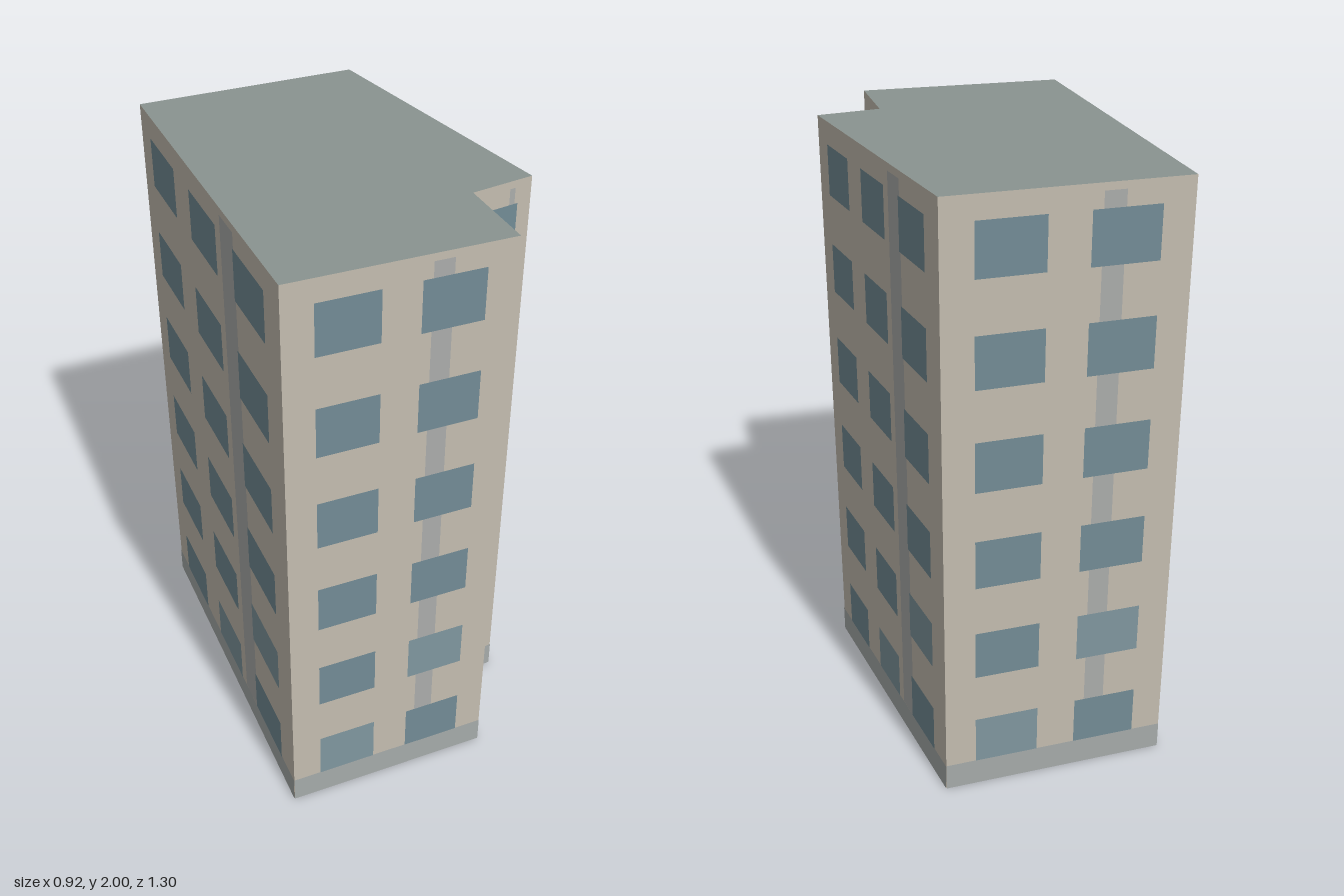
import * as THREE from 'three';

const HEIGHT = 2, FLOORS = 6, FLOOR = HEIGHT / FLOORS;
const BASE = FLOOR * 0.28, WINDOW_H = FLOOR * 0.5;

// Footprint corners [x, z], walked so each wall runs left to right seen from outside
const CORNERS = [
  [-0.457, 0.633], [0.238, 0.647], [0.244, 0.365],
  [0.455, 0.335], [0.31, -0.65], [-0.436, -0.643],
];

// One entry per wall; paleStep marks the diagonal of paler windows on the two lowest floors
const WALLS = [
  { name: 'frontWall', columns: 2, paleStep: 0 },
  { name: 'notchSideWall', columns: 1, paleStep: -1 },
  { name: 'notchFrontWall', columns: 1, paleStep: -1 },
  { name: 'rightWall', columns: 3, paleStep: 1 },
  { name: 'backWall', columns: 2, paleStep: 0 },
  { name: 'leftWall', columns: 3, paleStep: 1 },
];

const paint = (color, side = THREE.FrontSide) =>
  new THREE.MeshStandardMaterial({ color, side });

export function createModel() {
  const building = new THREE.Group();
  building.name = 'apartmentBlock';

  const wallMat = paint(0xc4bdb0, THREE.DoubleSide);
  const roofMat = paint(0x8a9490, THREE.DoubleSide);
  const baseMat = paint(0xa6abaa);
  const stripMat = paint(0xabadab);
  const glassMat = paint(0x738c96);
  const paleGlassMat = paint(0x80979f);

  // Flat panel given by its left, bottom, width, height and distance off the wall
  const addPanel = (group, name, material, x, y, w, h, offset) => {
    const panel = new THREE.Mesh(new THREE.PlaneGeometry(w, h), material);
    panel.name = name;
    panel.position.set(x + w / 2, y + h / 2, offset);
    group.add(panel);
  };

  WALLS.forEach(({ name, columns, paleStep }, i) => {
    const [x0, z0] = CORNERS[i];
    const [x1, z1] = CORNERS[(i + 1) % CORNERS.length];
    const length = Math.hypot(x1 - x0, z1 - z0);

    const wall = new THREE.Group();
    wall.name = name;
    wall.position.set(x0, 0, z0);
    wall.rotation.y = Math.atan2(z0 - z1, x1 - x0);
    building.add(wall);

    addPanel(wall, 'wallSurface', wallMat, 0, 0, length, HEIGHT, 0);
    addPanel(wall, 'baseBand', baseMat, 0, 0, length, BASE, 0.002);
    addPanel(wall, 'verticalStrip', stripMat,
      length * 0.63, BASE, length * 0.09, 1.977 - BASE, 0.0015);

    // Window grid, in front of the strip
    const margin = Math.min(0.035, length * 0.07);
    const bay = (length - 2 * margin) / columns;
    for (let row = 0; row < FLOORS; row++) {
      for (let col = 0; col < columns; col++) {
        const pale = row < 2 && col - row === paleStep;
        addPanel(wall, 'window', pale ? paleGlassMat : glassMat,
          margin + bay * (col + 0.19), BASE + row * FLOOR, bay * 0.62, WINDOW_H, 0.003);
      }
    }
  });

  // Flat roof over the footprint; the underside of the block stays open
  const outline = new THREE.Shape(CORNERS.map(([x, z]) => new THREE.Vector2(x, -z)));
  const roof = new THREE.Mesh(new THREE.ShapeGeometry(outline), roofMat);
  roof.name = 'roof';
  roof.rotation.x = -Math.PI / 2;
  roof.position.y = HEIGHT;
  building.add(roof);

  return building;
}
